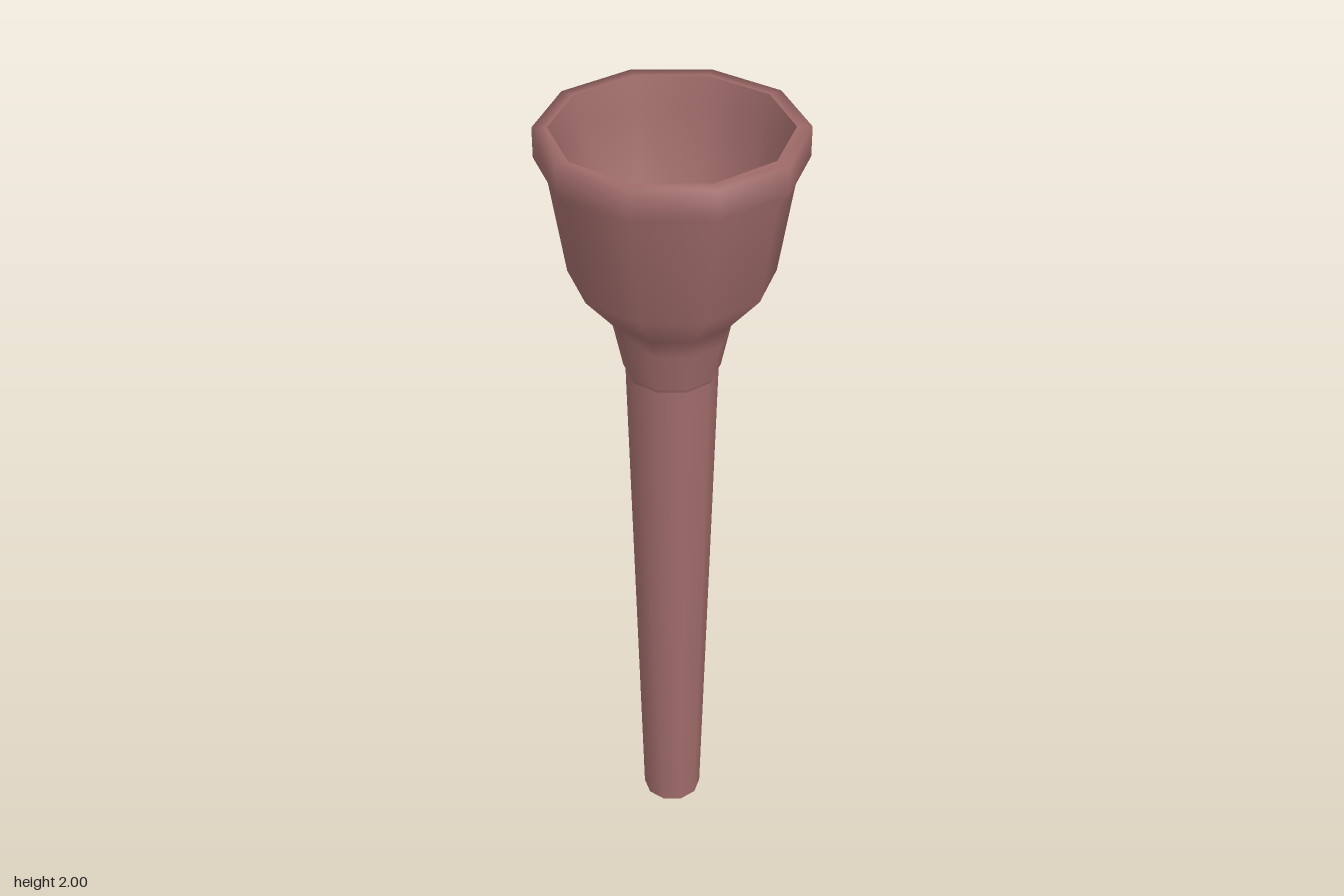
import * as THREE from 'three';

const SIDES = 10;

export function createModel() {
  const group = new THREE.Group();
  const material = new THREE.MeshStandardMaterial({ color: 0xa06c6a });

  // Turns a [radius, height] profile into a ten-sided smooth-shaded part
  const turn = (name, profile) => {
    const points = profile.map(([r, y]) => new THREE.Vector2(r, y));
    const mesh = new THREE.Mesh(new THREE.LatheGeometry(points, SIDES), material);
    mesh.name = name;
    group.add(mesh);
  };

  // Tapered stem with a bevelled, closed foot
  turn('stem', [[0, 0], [0.04, 0], [0.075, 0.025], [0.108, 1.39]]);

  // Collar flaring out into the cup, with the overhanging rim band
  turn('cupOuter', [
    [0.108, 1.39], [0.113, 1.4], [0.134, 1.5], [0.15, 1.55], [0.234, 1.65],
    [0.274, 1.905], [0.298, 1.93], [0.298, 2], [0.265, 2],
  ]);

  // Hollow of the cup, from the lip down to a shallow bowl
  turn('cupInner', [[0.265, 2], [0.25, 1.93], [0.208, 1.67], [0.12, 1.58], [0, 1.54]]);

  return group;
}
